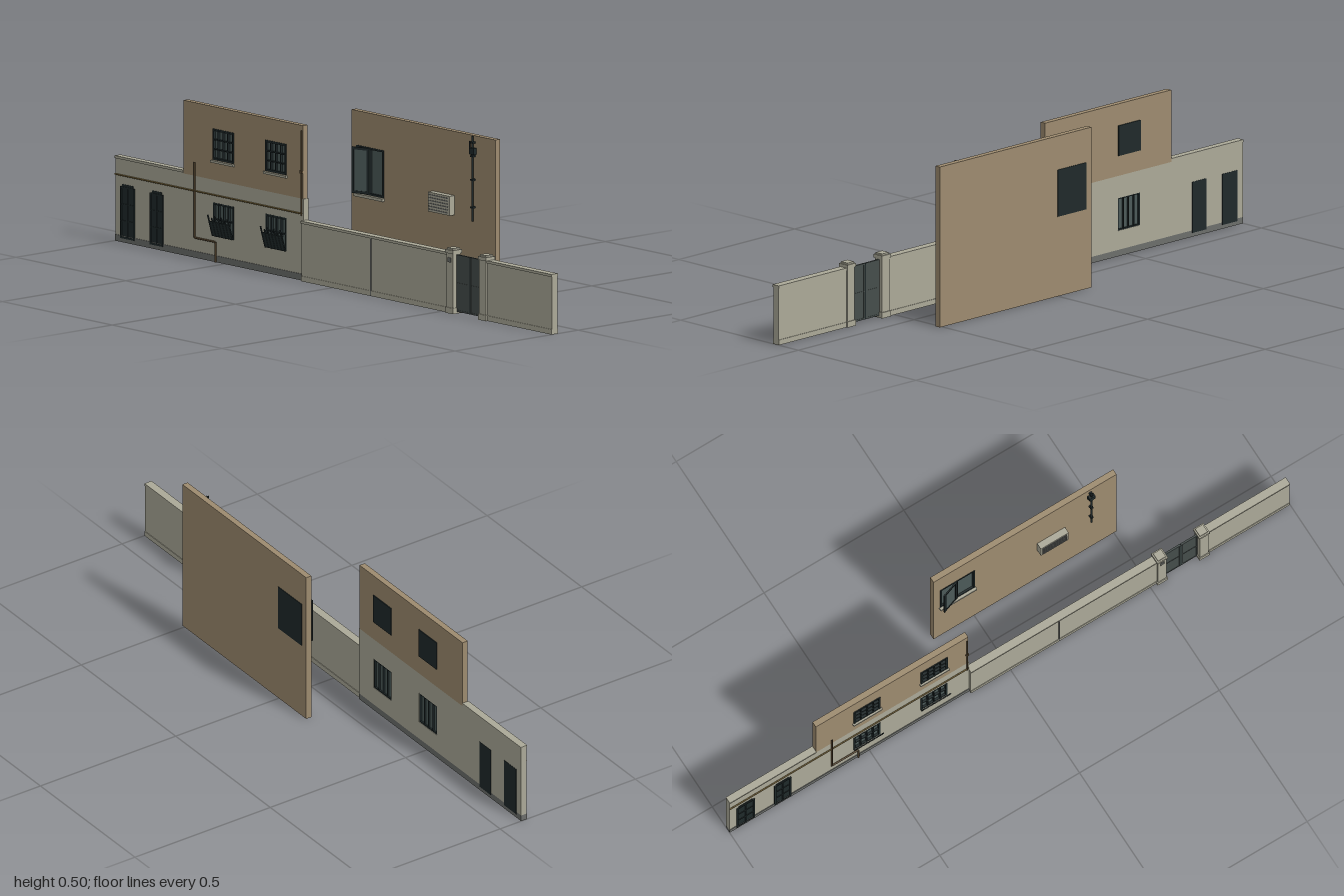
import * as THREE from 'three';

const mat = (name, color) => {
  const m = new THREE.MeshStandardMaterial({ color });
  m.name = name;
  return m;
};

export function createModel() {
  const root = new THREE.Group();
  root.name = 'streetFacade';
  const tan = mat('tanPlaster', 0x9d8b6f);
  const stone = mat('paleStone', 0xaba998);
  const plinthGrey = mat('plinthGrey', 0x6c6e6b);
  const dark = mat('darkMetal', 0x1f292a);
  const glass = mat('windowGlass', 0x4c5a59);
  const gateGrey = mat('gateGrey', 0x454d4b);
  const ochre = mat('ochrePipe', 0x85703f);
  const brown = mat('brownPipe', 0x5a4932);

  // Box given by its extents
  const box = (name, m, x0, x1, y0, y1, z0, z1, parent = root) => {
    const mesh = new THREE.Mesh(new THREE.BoxGeometry(x1 - x0, y1 - y0, z1 - z0), m);
    mesh.position.set((x0 + x1) / 2, (y0 + y1) / 2, (z0 + z1) / 2);
    mesh.name = name;
    parent.add(mesh);
    return mesh;
  };
  // Wall slab with rectangular openings [x0, x1, y0, y1]
  const wall = (name, m, outline, holes, z0, z1) => {
    const shape = new THREE.Shape(outline.map(([x, y]) => new THREE.Vector2(x, y)));
    for (const [a, b, c, d] of holes) {
      shape.holes.push(new THREE.Path([[a, c], [a, d], [b, d], [b, c]].map(([x, y]) => new THREE.Vector2(x, y))));
    }
    const geo = new THREE.ExtrudeGeometry(shape, { depth: z1 - z0, bevelEnabled: false });
    const mesh = new THREE.Mesh(geo, m);
    mesh.position.z = z0;
    mesh.name = name;
    root.add(mesh);
  };
  // Pipe with straight runs between points
  const pipe = (name, m, pts, r = 0.003) => {
    const path = new THREE.CurvePath();
    const v = pts.map(p => new THREE.Vector3(...p));
    for (let i = 1; i < v.length; i++) {
      const seg = new THREE.LineCurve3(v[i - 1], v[i]);
      const mesh = new THREE.Mesh(new THREE.TubeGeometry(seg, 1, r, 8), m);
      mesh.name = name;
      root.add(mesh);
    }
    return path;
  };
  // Frame of four bars with evenly spaced mullions and rails
  const frame = (name, m, x0, x1, y0, y1, z0, z1, cols, rows, t = 0.005, parent = root) => {
    const g = new THREE.Group();
    g.name = name;
    for (let i = 0; i <= cols; i++) {
      const w = i === 0 || i === cols ? t : t * 0.6;
      const x = x0 + t / 2 + (x1 - x0 - t) * i / cols;
      box('upright', m, x - w / 2, x + w / 2, y0, y1, z0, z1, g);
    }
    for (let j = 0; j <= rows; j++) {
      const h = j === 0 || j === rows ? t : t * 0.6;
      const y = y0 + t / 2 + (y1 - y0 - t) * j / rows;
      box('rail', m, x0, x1, y - h / 2, y + h / 2, z0 + 0.0004, z1 - 0.0004, g);
    }
    parent.add(g);
    return g;
  };

  // House front
  const cols = [[-0.555, -0.46], [-0.315, -0.22]];
  const doors = [[-0.975, -0.91], [-0.84, -0.78]];
  const lower = cols.map(([a, b]) => [a, b, 0.08, 0.182]);
  const upper = cols.map(([a, b]) => [a, b, 0.315, 0.41]);
  wall('lowerWall', stone, [[-1, 0.02], [-0.142, 0.02], [-0.142, 0.252], [-0.69, 0.252], [-0.69, 0.262], [-1, 0.262]],
    [...lower, ...doors.map(([a, b]) => [a, b, 0.021, 0.172])], 0.078, 0.097);
  wall('upperWall', tan, [[-0.69, 0.252], [-0.145, 0.252], [-0.145, 0.478], [-0.69, 0.478]], upper, 0.078, 0.097);
  box('plinth', plinthGrey, -1, -0.142, 0, 0.02, 0.078, 0.099);
  box('coping', stone, -1, -0.69, 0.255, 0.263, 0.077, 0.1);

  // Doors with a stepped head
  for (const [a, b] of doors) {
    box('door', dark, a, b, 0.012, 0.172, 0.077, 0.0985);
    box('doorHead', dark, a + 0.008, b - 0.008, 0.172, 0.179, 0.095, 0.0985);
    frame('doorFrame', dark, a, b, 0.012, 0.172, 0.097, 0.101, 2, 3, 0.006);
  }

  // Upper windows: dark backing, panes, glazing bars and sill
  for (const [a, b, c, d] of upper) {
    box('windowBacking', dark, a, b, c, d, 0.075, 0.079);
    box('windowPane', glass, a, b, c, d, 0.088, 0.092);
    frame('windowFrame', dark, a, b, c, d, 0.092, 0.1, 4, 3, 0.006);
    box('windowSill', stone, a - 0.004, b + 0.004, 0.306, 0.313, 0.092, 0.105);
  }

  // Lower windows: panes, bars and a leaning picket guard
  for (const [a, b, c, d] of lower) {
    box('windowPane', glass, a, b, c, d, 0.086, 0.09);
    frame('windowFrame', dark, a, b, c, d, 0.09, 0.098, 4, 2, 0.006);
    frame('backBars', dark, a, b, c, d, 0.079, 0.085, 4, 1, 0.004);
    const guard = new THREE.Group();
    guard.name = 'windowGuard';
    guard.position.set(0, c, 0.1);
    guard.rotation.x = 0.29;
    box('guardPanel', dark, a, b, 0, 0.05, -0.001, 0.002, guard);
    for (let i = 0; i < 7; i++) {
      const x = a + 0.003 + (b - a - 0.006) * i / 6;
      box('picket', dark, x - 0.0015, x + 0.0015, 0, i % 2 ? 0.062 : 0.07, -0.001, 0.003, guard);
    }
    root.add(guard);
  }

  // Pipes and conduit on the house front
  pipe('conduit', ochre, [[-1, 0.206, 0.099], [-0.145, 0.206, 0.099]], 0.0025);
  pipe('waterPipe', brown, [[-0.635, 0.295, 0.1], [-0.635, 0.062, 0.1], [-0.54, 0.062, 0.1], [-0.54, 0, 0.1]]);
  pipe('downpipe', brown, [[-0.15, 0.2, 0.1], [-0.15, 0.463, 0.1]], 0.0025);
  box('pipeBracket', brown, -0.155, -0.145, 0.33, 0.338, 0.096, 0.103);

  // Yard wall with coping and panel joint
  for (const [a, b] of [[-0.142, 0.525], [0.705, 1]]) {
    box('yardWall', stone, a, b, 0, 0.178, 0.085, 0.106);
    box('yardCoping', stone, a, b, 0.178, 0.186, 0.083, 0.109);
    box('yardFooting', stone, a, b, 0, 0.016, 0.083, 0.108);
  }
  box('panelJoint', plinthGrey, 0.173, 0.177, 0, 0.18, 0.084, 0.108);

  // Gate posts
  for (const x of [0.54, 0.69]) {
    const slab = (name, r, y0, y1) => box(name, stone, x - r, x + r, y0, y1, 0.0965 - r, 0.0965 + r);
    slab('postBase', 0.0185, 0, 0.018);
    slab('postShaft', 0.0155, 0.018, 0.185);
    slab('postCap', 0.0185, 0.185, 0.196);
    slab('postTop', 0.014, 0.196, 0.201);
  }
  box('doorbell', plinthGrey, 0.533, 0.547, 0.158, 0.172, 0.111, 0.115);

  // Double gate
  for (const [a, b] of [[0.556, 0.614], [0.617, 0.675]]) {
    box('gateLeaf', gateGrey, a, b, 0.006, 0.18, 0.094, 0.098);
    frame('gateFrame', gateGrey, a, b, 0.006, 0.182, 0.0925, 0.0995, 1, 2, 0.005);
  }
  box('gateGap', dark, 0.614, 0.617, 0.006, 0.18, 0.093, 0.099);

  // Rear wall
  wall('rearWall', tan, [[-0.145, 0], [0.51, 0], [0.51, 0.503], [-0.145, 0.503]], [[-0.122, 0.002, 0.25, 0.397]], -0.119, -0.1);
  box('rearWindowBacking', dark, -0.122, 0.002, 0.25, 0.397, -0.121, -0.117);
  box('rearWindowPane', glass, -0.122, 0.002, 0.25, 0.397, -0.109, -0.105);
  frame('rearWindowFrame', dark, -0.122, 0.002, 0.25, 0.397, -0.105, -0.098, 2, 1, 0.006);
  box('rearWindowSill', stone, -0.125, 0.005, 0.24, 0.249, -0.1, -0.09);

  // Open casement hinged at the middle of the rear window
  const casement = new THREE.Group();
  casement.name = 'openCasement';
  casement.position.set(-0.063, 0, -0.099);
  casement.rotation.y = 0.33;
  box('casementPane', glass, -0.06, 0, 0.255, 0.392, -0.001, 0.001, casement);
  frame('casementFrame', dark, -0.061, 0, 0.252, 0.395, -0.002, 0.003, 1, 1, 0.008, casement);
  root.add(casement);

  // Wall vent unit with slats
  box('ventUnit', stone, 0.226, 0.325, 0.245, 0.305, -0.1, -0.079);
  for (let i = 0; i < 6; i++) {
    const y = 0.251 + i * 0.009;
    box('ventSlat', plinthGrey, 0.232, 0.319, y, y + 0.003, -0.079, -0.077);
  }

  // Rear service pipe with brackets and junction box
  pipe('servicePipe', dark, [[0.415, 0.24, -0.092], [0.415, 0.503, -0.092]], 0.0035);
  box('junctionBox', dark, 0.405, 0.426, 0.446, 0.466, -0.098, -0.086);
  for (const y of [0.28, 0.365, 0.438, 0.48]) box('pipeClamp', dark, 0.41, 0.42, y, y + 0.005, -0.1, -0.087);
  pipe('sideBranch', dark, [[0.415, 0.435, -0.092], [0.402, 0.46, -0.092], [0.402, 0.485, -0.092]], 0.002);

  return root;
}
